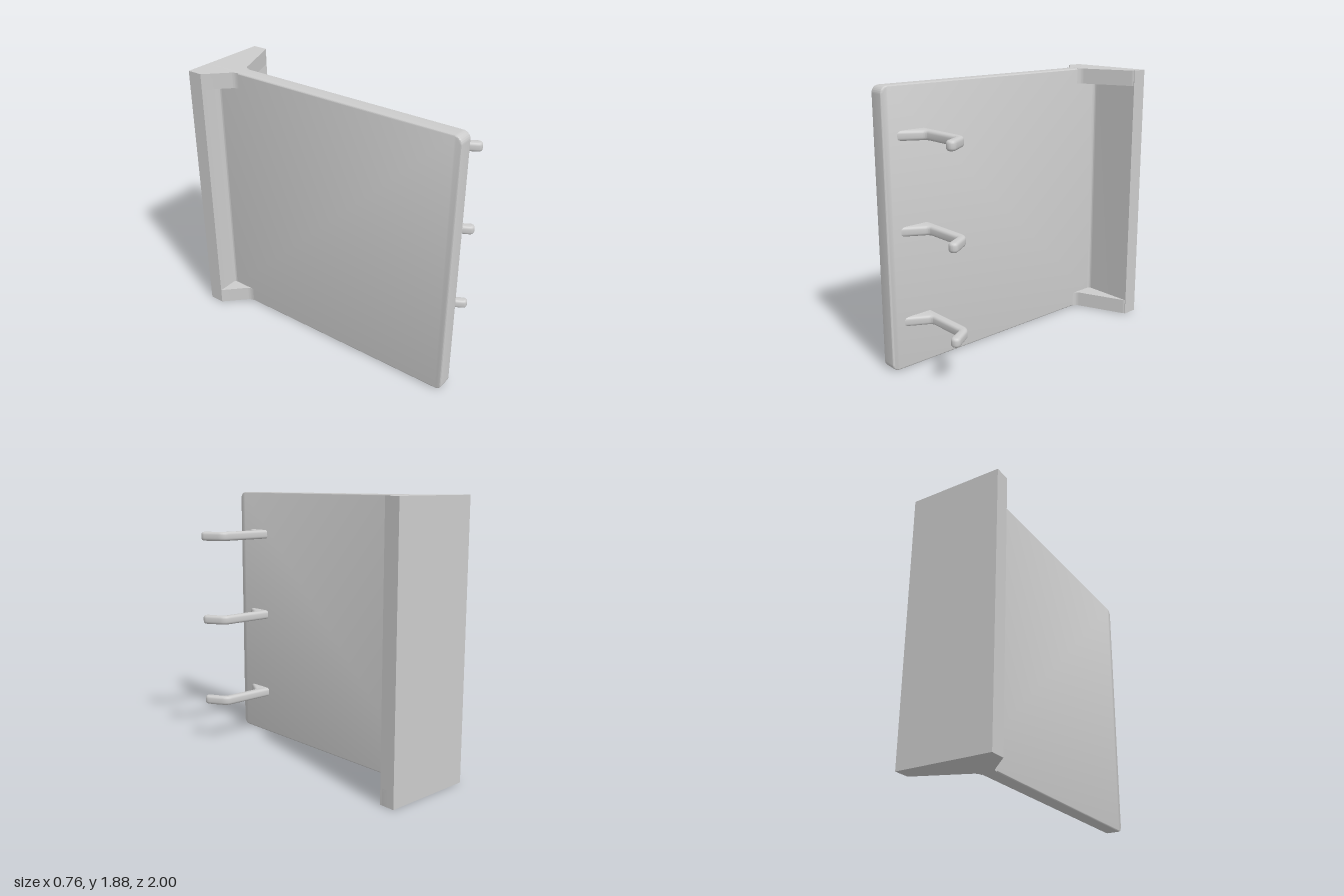
import * as THREE from 'three';
import { toCreasedNormals } from 'three/addons/utils/BufferGeometryUtils.js';

const material = new THREE.MeshStandardMaterial({ color: 0xcccccc });
const HEIGHT = 1.88;

// Extrudes a shape to a total depth starting at 0; the bevel stays inside the outline.
function extrude(shape, depth, bevel = 0) {
  const geo = new THREE.ExtrudeGeometry(shape, {
    depth: depth - 2 * bevel,
    bevelEnabled: bevel > 0,
    bevelSize: bevel,
    bevelThickness: bevel,
    bevelOffset: -bevel,
    bevelSegments: 4,
    curveSegments: 10,
  });
  return geo.translate(0, 0, bevel);
}

// Plan shapes are drawn as (x, -z) and raised along y.
function fromPlan(name, shape, y, height, bevel) {
  const geo = extrude(shape, height, bevel).rotateX(-Math.PI / 2).translate(0, y, 0);
  const mesh = new THREE.Mesh(toCreasedNormals(geo, 0.6), material);
  mesh.name = name;
  return mesh;
}

// Upright plate with rounded front corners, drawn as (-z, y)
function createPanel() {
  const r = 0.05;
  const s = new THREE.Shape();
  s.moveTo(0.95, 0);
  s.lineTo(0.95, HEIGHT);
  s.lineTo(-1 + r, HEIGHT);
  s.absarc(-1 + r, HEIGHT - r, r, Math.PI / 2, Math.PI, false);
  s.lineTo(-1, r);
  s.absarc(-1 + r, r, r, Math.PI, Math.PI * 1.5, false);
  s.closePath();
  const geo = extrude(s, 0.108, 0.01).rotateY(Math.PI / 2).translate(-0.218, 0, 0);
  const mesh = new THREE.Mesh(toCreasedNormals(geo, 0.6), material);
  mesh.name = 'panel';
  return mesh;
}

// Back plate with small fillets where it meets the panel
function createBackPlate() {
  const s = new THREE.Shape();
  s.moveTo(-0.38, 1);
  s.lineTo(-0.38, 0.89);
  s.lineTo(-0.24, 0.89);
  s.quadraticCurveTo(-0.218, 0.89, -0.218, 0.868);
  s.lineTo(-0.11, 0.868);
  s.quadraticCurveTo(-0.11, 0.89, -0.088, 0.89);
  s.lineTo(0.275, 0.89);
  s.lineTo(0.275, 1);
  s.closePath();
  return fromPlan('backPlate', s, 0, HEIGHT, 0);
}

// Sloping brace that ties plate and panel together at each end
function gussetShape() {
  const s = new THREE.Shape();
  s.moveTo(-0.38, 0.95);
  s.lineTo(-0.38, 0.89);
  s.lineTo(-0.235, 0.747);
  s.quadraticCurveTo(-0.218, 0.73, -0.218, 0.7);
  s.lineTo(-0.11, 0.7);
  s.quadraticCurveTo(-0.11, 0.73, -0.08, 0.742);
  s.lineTo(0.255, 0.88);
  s.quadraticCurveTo(0.275, 0.888, 0.275, 0.905);
  s.lineTo(0.275, 0.95);
  s.closePath();
  return s;
}

// Bent peg with a small brace at its root
function hookShape() {
  const s = new THREE.Shape();
  s.moveTo(-0.15, -0.676);
  s.lineTo(0.245, -0.676);
  s.quadraticCurveTo(0.292, -0.676, 0.318, -0.717);
  s.lineTo(0.373, -0.807);
  s.absarc(0.347, -0.826, 0.032, 0.63, -2.51, true);
  s.lineTo(0.276, -0.76);
  s.quadraticCurveTo(0.265, -0.74, 0.245, -0.74);
  s.lineTo(0, -0.74);
  s.quadraticCurveTo(-0.022, -0.74, -0.034, -0.762);
  s.lineTo(-0.11, -0.895);
  s.lineTo(-0.15, -0.965);
  s.closePath();
  return s;
}

export function createModel() {
  const model = new THREE.Group();
  model.name = 'hookRack';
  model.add(createPanel(), createBackPlate());

  // Gussets at bottom and top
  const gusset = gussetShape();
  model.add(fromPlan('bottomGusset', gusset, 0, 0.11, 0));
  model.add(fromPlan('topGusset', gusset, HEIGHT - 0.11, 0.11, 0));

  // Three hooks up the front of the panel
  const hook = hookShape();
  [0.325, 0.945, 1.565].forEach((y, i) => {
    model.add(fromPlan(`hook${i + 1}`, hook, y - 0.0325, 0.065, 0.02));
  });
  return model;
}
